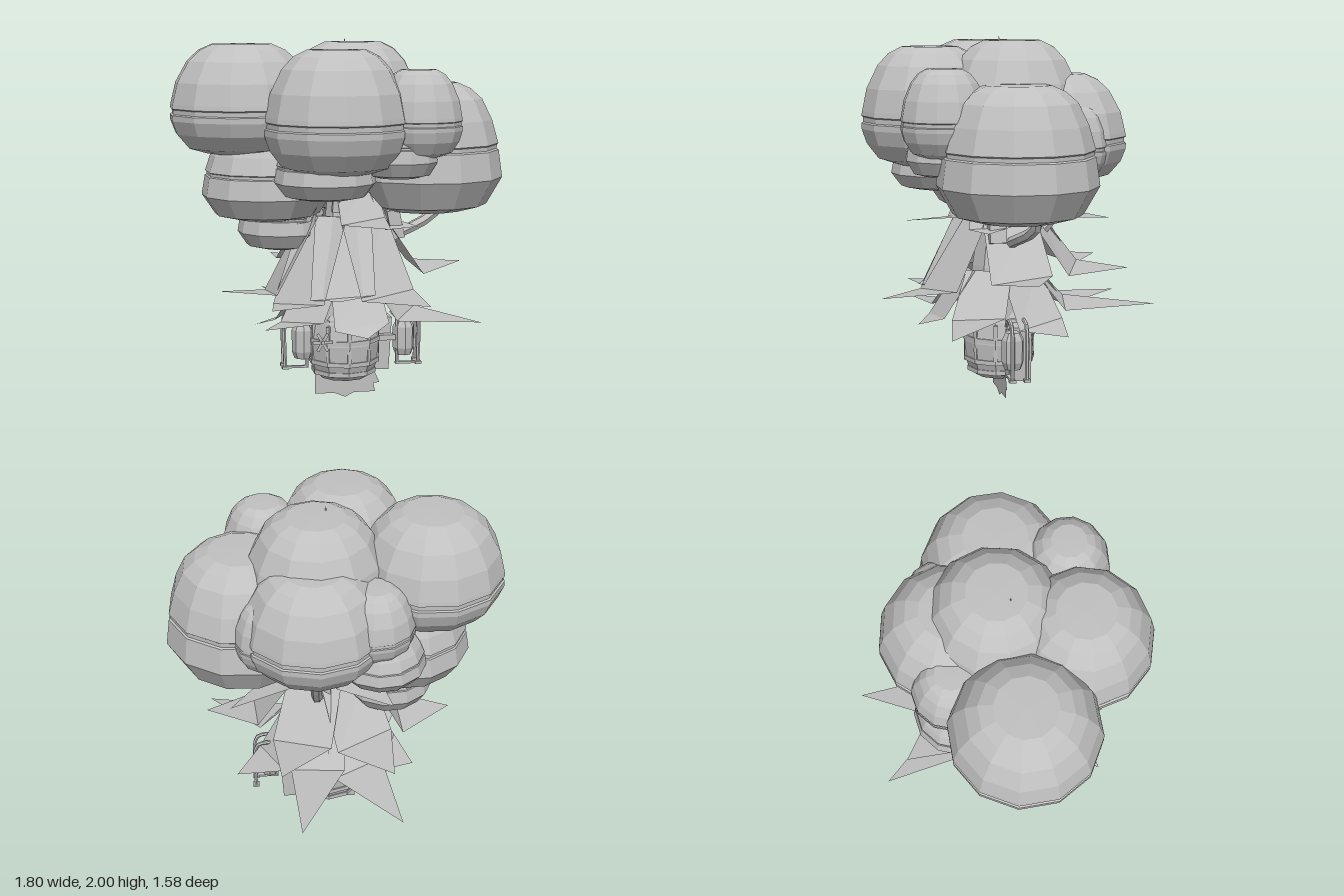
import * as THREE from 'three';

export function createModel() {
  const model = new THREE.Group();
  const grey = new THREE.MeshStandardMaterial({ color: 0xc0c0c0, flatShading: true, side: THREE.DoubleSide });
  grey.name = 'plain grey';
  const V = (x, y, z) => new THREE.Vector3(x, y, z);
  const cx = 0.03, cz = 0.06; // axis of trunk and gondola

  function add(name, geo, x = 0, y = 0, z = 0, parent = model) {
    const m = new THREE.Mesh(geo, grey);
    m.name = name;
    m.position.set(x, y, z);
    parent.add(m);
    return m;
  }
  const lathe = (pts, n) => new THREE.LatheGeometry(pts.map(p => new THREE.Vector2(...p)), n);
  const tube = (name, pts, r, sides = 6, seg = 8) =>
    add(name, new THREE.TubeGeometry(new THREE.CatmullRomCurve3(pts.map(p => V(...p))), seg, r, sides));

  // Balloons: faceted domes with a shallow groove round the belly
  const highBelly = [[0, 0], [0.5, 0.01], [0.76, 0.06], [0.93, 0.19], [1, 0.31], [1, 0.36], [0.975, 0.37],
    [0.975, 0.41], [1, 0.42], [0.99, 0.46], [0.92, 0.65], [0.76, 0.84], [0.6, 0.94], [0.41, 0.995], [0, 1]];
  const lowBelly = [[0, 0], [0.5, 0.01], [0.8, 0.06], [1, 0.27], [0.95, 0.48], [0.925, 0.49], [0.925, 0.52],
    [0.945, 0.53], [0.86, 0.71], [0.73, 0.87], [0.58, 0.95], [0.41, 0.995], [0, 1]];
  const balloons = [
    // name, x, z, radius, bottom, top, profile
    ['leftBalloon', -0.52, 0.04, 0.395, 1.38, 1.97, highBelly],
    ['frontBalloon', -0.07, 0.42, 0.375, 1.30, 1.945, highBelly],
    ['topBalloon', 0.09, 0.0, 0.385, 1.33, 1.98, highBelly],
    ['smallFrontBalloon', 0.365, 0.42, 0.23, 1.38, 1.84, highBelly],
    ['rightBalloon', 0.485, 0.06, 0.425, 1.05, 1.76, lowBelly],
    ['backBalloon', 0.11, -0.24, 0.385, 1.22, 1.8, highBelly],
    ['smallBackLeftBalloon', -0.2, -0.28, 0.215, 1.33, 1.72, highBelly],
    ['lowerBackLeftBalloon', -0.24, -0.26, 0.24, 1.16, 1.45, lowBelly],
    ['smallBackRightBalloon', 0.36, -0.28, 0.17, 1.27, 1.64, highBelly],
    ['lowerLeftBalloon', -0.39, 0.03, 0.355, 1.02, 1.52, lowBelly],
    ['lowestLeftBalloon', -0.3, -0.02, 0.245, 0.85, 1.2, lowBelly],
    ['lowerFrontBalloon', -0.12, 0.36, 0.27, 1.16, 1.5, lowBelly],
    ['lowerFrontRightBalloon', 0.26, 0.4, 0.21, 1.27, 1.6, lowBelly],
  ];
  for (const [name, x, z, r, y0, y1, prof] of balloons) {
    const b = add(name, lathe(prof.map(([a, h]) => [a * r, h * (y1 - y0)]), 12), x, y0, z);
    b.rotation.y = x * 0.5;
  }
  add('topSpike', new THREE.ConeGeometry(0.006, 0.03, 5), 0.035, 1.985, 0.06);

  // Trunk and the branches holding the balloons
  add('trunk', lathe([[0, 0], [0.17, 0], [0.15, 0.3], [0.1, 0.6], [0.07, 0.9], [0, 0.9]], 8), cx, 0.45, cz);
  for (const [x, y, z] of [[0.6, 1.1, -0.02], [-0.4, 1.12, 0.06], [0.12, 1.3, -0.38], [-0.2, 1.3, -0.28]]) {
    tube('branch', [[cx, 0.82, cz], [cx + x * 0.5, 0.92, cz + z * 0.55], [x * 0.92, y - 0.08, z * 0.95], [x, y, z]], 0.03);
  }

  // Leaves: a sloping plate from the trunk, then a long outward spike
  function leaf(name, tip, lift, rootY, rootR, kneeY, kneeR, w0, w1) {
    const a = Math.atan2(tip[2] - cz, tip[0] - cx), c = Math.cos(a), s = Math.sin(a);
    const at = (r, y, w) => [cx + c * r - s * w, y, cz + s * r + c * w];
    const p = [at(rootR, rootY, w0), at(rootR, rootY, -w0), at(kneeR, kneeY + lift - 0.015, w1),
      at(kneeR, kneeY + lift + 0.015, -w1), tip];
    const geo = new THREE.BufferGeometry();
    geo.setAttribute('position', new THREE.Float32BufferAttribute(p.flat(), 3));
    geo.setIndex([0, 2, 1, 1, 2, 3, 2, 4, 3]);
    const flat = geo.toNonIndexed();
    flat.computeVertexNormals();
    add(name, flat);
  }
  const tiers = [
    // root height, root radius, knee height, knee radius, root and knee half-widths; then [tip, knee lift]
    ['upperLeaf', [1.27, 0.12, 1.03, 0.25, 0.11, 0.13],
      [[[0.18, 1.03, 0.62], 0], [[-0.35, 0.99, 0.15], -0.02], [[0.56, 1.07, -0.41], 0.03],
        [[-0.3, 1.06, -0.42], 0.02], [[0.42, 0.98, 0.2], -0.04]]],
    ['middleLeaf', [1.05, 0.18, 0.65, 0.41, 0.15, 0.17],
      [[[0.71, 0.75, 0.0], 0.08], [[0.36, 0.65, 0.76], 0], [[-0.05, 0.64, 0.5], 0], [[-0.67, 0.64, 0.12], -0.03],
        [[-0.42, 0.6, 0.5], -0.05], [[-0.3, 0.73, -0.58], 0.09], [[0.3, 0.75, -0.6], 0.09]]],
    ['lowerLeaf', [0.74, 0.18, 0.49, 0.36, 0.13, 0.15],
      [[[0.71, 0.49, 0.45], 0.02], [[0.2, 0.52, -0.79], 0.04], [[-0.34, 0.5, -0.71], 0.02],
        [[0.55, 0.44, -0.2], -0.02], [[0.08, 0.44, 0.52], -0.01], [[-0.46, 0.5, 0.5], 0], [[-0.45, 0.4, -0.1], -0.04]]],
  ];
  for (const [name, shape, leaves] of tiers)
    for (const [tip, lift] of leaves) leaf(name, tip, lift, ...shape);

  // Lanterns hung under the leaves
  add('lantern', new THREE.BoxGeometry(0.07, 0.16, 0.09), 0.3, 0.99, 0.13).rotation.z = 0.2;
  add('lantern', new THREE.CylinderGeometry(0.03, 0.04, 0.13, 6), -0.03, 1.14, 0.24);
  add('lantern', new THREE.BoxGeometry(0.05, 0.1, 0.05), 0.05, 0.97, -0.17);

  // Gondola: a faceted barrel with hoops and staves
  add('barrel', lathe([[0, 0], [0.13, 0], [0.17, 0.04], [0.19, 0.1], [0.2, 0.2], [0.18, 0.32], [0.15, 0.39], [0, 0.39]], 10), cx, 0.13, cz);
  for (const [y, r] of [[0.17, 0.17], [0.23, 0.19], [0.35, 0.193], [0.46, 0.165]])
    add('hoop', lathe([[r - 0.02, -0.012], [r + 0.01, -0.012], [r + 0.01, 0.012], [r - 0.02, 0.012]], 10), cx, y, cz);
  for (let i = 0; i < 10; i++) {
    const a = (i / 10) * Math.PI * 2;
    add('stave', new THREE.BoxGeometry(0.02, 0.22, 0.02), cx + Math.sin(a) * 0.187, 0.33, cz + Math.cos(a) * 0.187).rotation.y = a;
  }

  // Keel plate below the barrel
  const keel = new THREE.Shape();
  [[-0.13, 0.03], [-0.02, 0.03], [0.04, 0.005], [0.09, 0.03], [0.21, 0.03], [0.2, 0.08], [0.235, 0.08], [0.2, 0.16], [-0.13, 0.16]]
    .forEach(([x, y], i) => (i ? keel.lineTo(x, y) : keel.moveTo(x, y)));
  add('keelPlate', new THREE.ShapeGeometry(keel), 0, 0, 0.06);

  // Side pods with arched brackets and landing posts
  for (const [side, podX, postX] of [[-1, -0.2, -0.3], [1, 0.37, 0.45]]) {
    add('pod', lathe([[0, 0], [0.045, 0], [0.06, 0.04], [0.06, 0.16], [0.04, 0.2], [0, 0.2]], 8), podX, 0.24, cz);
    add('podArm', new THREE.BoxGeometry(0.16, 0.03, 0.05), podX - side * 0.07, 0.34, cz);
    for (const z of [cz - 0.06, cz + 0.02]) {
      tube('bracket', [[postX - side * 0.14, 0.46, z], [postX - side * 0.1, 0.5, z],
        [postX - side * 0.02, 0.49, z], [postX, 0.44, z], [postX, 0.2, z]], 0.011, 6, 12);
      add('foot', new THREE.BoxGeometry(0.035, 0.015, 0.035), postX, 0.193, z);
    }
    add('innerPost', new THREE.CylinderGeometry(0.011, 0.011, 0.26, 6), postX - side * 0.12, 0.32, cz + 0.02);
    add('footRail', new THREE.BoxGeometry(0.14, 0.012, 0.02), postX - side * 0.06, 0.195, cz + 0.02);
  }
  add('sideBox', new THREE.BoxGeometry(0.1, 0.3, 0.1), 0.25, 0.3, -0.01).rotation.z = -0.06;

  // Small propellers on the front and back of the gondola
  for (const [x, y, z] of [[-0.12, 0.37, 0.25], [0.1, 0.42, -0.15]]) {
    const prop = new THREE.Group();
    prop.name = 'propeller';
    prop.position.set(x, y, z);
    model.add(prop);
    add('hub', new THREE.CylinderGeometry(0.012, 0.012, 0.07, 6), 0, 0, 0, prop).rotation.x = Math.PI / 2;
    for (let i = 0; i < 3; i++)
      add('blade', new THREE.BoxGeometry(0.11, 0.016, 0.006), 0, 0, Math.sign(z) * 0.02, prop).rotation.z = (i * Math.PI) / 3;
  }
  return model;
}
